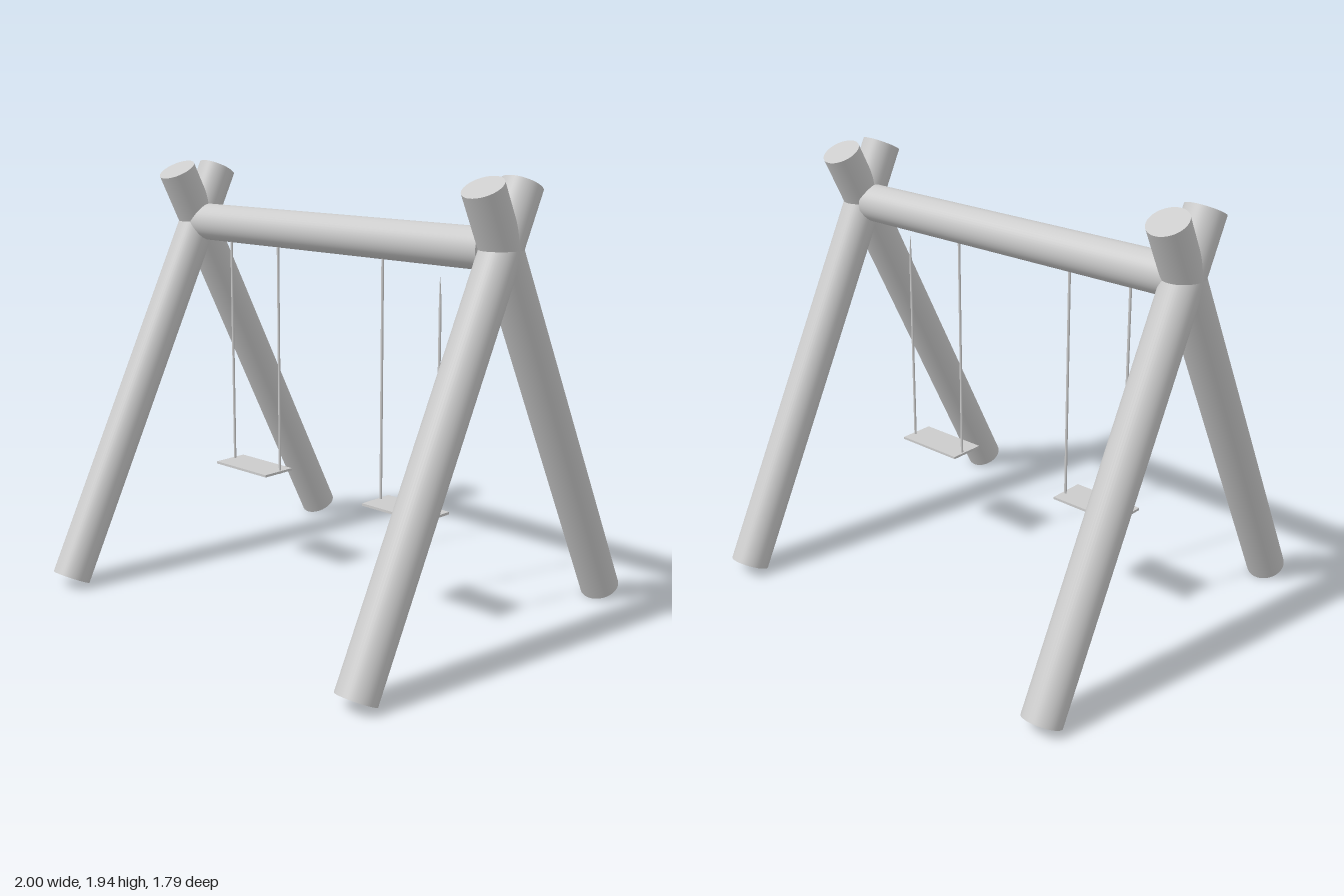
import * as THREE from 'three';

const material = new THREE.MeshStandardMaterial({ color: 0xcccccc });
const Z0 = -0.006; // plane where the crossed legs and the beam meet

function add(group, name, geometry) {
  const mesh = new THREE.Mesh(geometry, material);
  mesh.name = name;
  group.add(mesh);
  return mesh;
}

// Cylinder running from point a to point b
function pole(group, name, a, b, radius, sides, topRadius = radius) {
  const start = new THREE.Vector3(...a);
  const end = new THREE.Vector3(...b);
  const dir = end.clone().sub(start);
  const mesh = add(group, name, new THREE.CylinderGeometry(topRadius, radius, dir.length(), sides));
  mesh.position.copy(start).add(end).multiplyScalar(0.5);
  mesh.quaternion.setFromUnitVectors(new THREE.Vector3(0, 1, 0), dir.normalize());
  return mesh;
}

export function createModel() {
  const model = new THREE.Group();
  model.name = 'swingSet';

  // Crossed log legs at both ends
  for (const [side, x] of [['left', 0.913], ['right', -0.913]]) {
    const frame = new THREE.Group();
    frame.name = side + 'Frame';
    for (const [name, s] of [['frontLeg', 1], ['backLeg', -1]]) {
      pole(frame, name, [x, 0.04, Z0 + 0.816 * s], [x, 1.897, Z0 - 0.125 * s], 0.087, 48);
    }
    model.add(frame);
  }

  // Horizontal log resting in the crossings
  pole(model, 'crossBeam', [-0.91, 1.648, Z0], [0.852, 1.648, Z0], 0.086, 48);

  // Two swings: a thin seat on two ropes
  for (const [side, x] of [['left', 0.475], ['right', -0.484]]) {
    const swing = new THREE.Group();
    swing.name = side + 'Swing';
    const seat = add(swing, 'seat', new THREE.BoxGeometry(0.345, 0.011, 0.17));
    seat.position.set(x, 0.508, 0.04);
    pole(swing, 'rightRope', [x - 0.159, 0.498, 0.02], [x - 0.159, 1.6, 0.02], 0.006, 12);
    if (side === 'right') {
      pole(swing, 'leftRope', [x + 0.159, 0.498, 0.02], [x + 0.159, 1.6, 0.02], 0.006, 12);
    } else {
      // The outer left rope tapers to a point just below the beam
      pole(swing, 'leftRope', [x + 0.159, 0.498, 0.02], [x + 0.158, 1.41, 0.02], 0.006, 12);
      pole(swing, 'leftRopeTip', [x + 0.158, 1.41, 0.02], [x + 0.155, 1.52, 0.02], 0.006, 12, 0.001);
    }
    model.add(swing);
  }
  return model;
}
